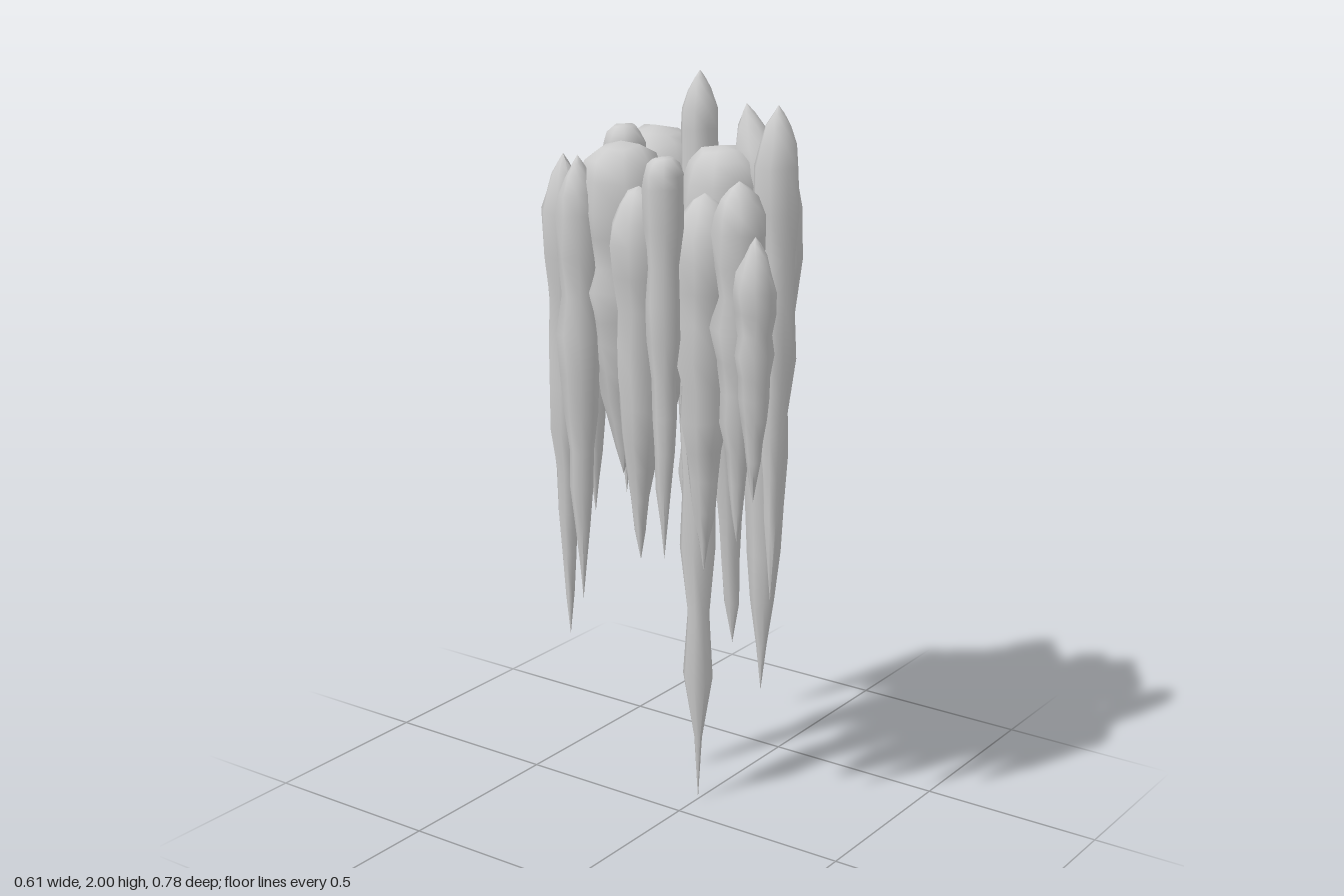
import * as THREE from 'three';
import { toCreasedNormals } from 'three/addons/utils/BufferGeometryUtils.js';

const SIDES = 8;
const BODY_RINGS = 10;

// Small seeded generator
function makeRandom(seed) {
  let s = seed;
  return () => (s = (s * 16807) % 2147483647) / 2147483647;
}

// Heads: rings as [drop below the apex, width], and where the body starts, all in radii
const HEADS = {
  pointed: { rings: [[0.35, 0.25], [0.9, 0.55], [1.7, 0.85]], end: 2.6 },
  round: { rings: [[0.2, 0.35], [0.6, 0.68], [1.2, 0.92]], end: 1.9 },
  blunt: { rings: [[0.1, 0.5], [0.35, 0.78], [0.85, 0.95]], end: 1.5 },
};

// One icicle: irregular rings from a head down to a sharp tip.
// lean shifts the apex, drift shifts the tip, widths replaces the usual taper.
function icicleGeometry({ r, top, tip, head, lean = [0, 0], drift = [0, 0], widths }, random) {
  const rings = HEADS[head].rings.map(([d, w]) => [top - d * r, w * r]);
  const shoulder = top - HEADS[head].end * r;
  for (let i = 0; i < BODY_RINGS; i++) {
    const t = i / BODY_RINGS;
    const lump = i < 2 ? 1 : 0.8 + 0.26 * random();
    const width = widths ? widths[i] : lump * (1 - t ** 2.1);
    rings.push([shoulder + (tip - shoulder) * t, r * width]);
  }

  const position = [lean[0], top, lean[1]];
  const index = [];
  const twist = random() * Math.PI;
  rings.forEach(([y, radius]) => {
    // The lean fades out below the head, the drift grows towards the tip
    const k = Math.max(0, 1 - (top - y) / 0.25);
    const d = (top - y) / (top - tip);
    const wobble = 0.1 * radius;
    const cx = lean[0] * k + drift[0] * d + (random() - 0.5) * wobble;
    const cz = lean[1] * k + drift[1] * d + (random() - 0.5) * wobble;
    for (let j = 0; j < SIDES; j++) {
      const a = twist + (j / SIDES) * Math.PI * 2;
      const q = radius * (0.94 + 0.14 * random());
      const dy = (random() - 0.5) * 0.15 * r;
      position.push(cx + q * Math.cos(a), y + dy, cz + q * Math.sin(a));
    }
  });
  position.push(drift[0], tip, drift[1]);

  const at = (i, j) => 1 + i * SIDES + (j % SIDES);
  const last = rings.length - 1;
  const bottom = position.length / 3 - 1;
  for (let j = 0; j < SIDES; j++) {
    index.push(0, at(0, j + 1), at(0, j));
    for (let i = 0; i < last; i++) {
      index.push(at(i, j), at(i, j + 1), at(i + 1, j));
      index.push(at(i, j + 1), at(i + 1, j + 1), at(i + 1, j));
    }
    index.push(at(last, j), at(last, j + 1), bottom);
  }

  const geometry = new THREE.BufferGeometry();
  geometry.setAttribute('position', new THREE.Float32BufferAttribute(position, 3));
  geometry.setIndex(index);
  return toCreasedNormals(geometry, 1.1);
}

const ICICLES = [
  // Thick columns at the core
  { name: 'thickIcicleBack', x: 0.095, z: -0.14, r: 0.122, top: 1.85, tip: 0.93, head: 'blunt' },
  { name: 'thickIcicleRight', x: -0.16, z: -0.06, r: 0.108, top: 1.85, tip: 1.0, head: 'blunt' },
  { name: 'thickIcicleFront', x: 0.03, z: 0.11, r: 0.11, top: 1.83, tip: 0.5, head: 'blunt', drift: [0.045, 0.01],
    widths: [1, 0.96, 0.87, 0.74, 0.6, 0.46, 0.36, 0.28, 0.23, 0.18] },
  { name: 'thickIcicleRear', x: 0.042, z: -0.295, r: 0.088, top: 1.79, tip: 1.16, head: 'round', lean: [0, 0.03] },
  // Long icicles
  { name: 'longestIcicle', x: 0.09, z: 0, r: 0.056, top: 2.0, tip: 0, head: 'pointed',
    widths: [0.85, 0.9, 1, 0.82, 0.92, 0.76, 0.86, 0.52, 0.72, 0.2] },
  { name: 'longIcicleLeft', x: 0.217, z: 0.13, r: 0.085, top: 1.86, tip: 0.32, head: 'pointed', lean: [-0.015, 0], drift: [-0.017, 0] },
  { name: 'longIcicleRear', x: -0.145, z: -0.252, r: 0.056, top: 1.8, tip: 0.51, head: 'pointed' },
  // Medium icicles
  { name: 'icicleLeft', x: 0.255, z: -0.14, r: 0.053, top: 1.81, tip: 0.68, head: 'pointed',
    widths: [1, 0.95, 0.87, 0.8, 0.75, 0.92, 0.66, 0.48, 0.72, 0.36] },
  { name: 'icicleFront', x: -0.02, z: 0.305, r: 0.056, top: 1.95, tip: 0.69, head: 'pointed', drift: [-0.01, 0] },
  { name: 'icicleRight', x: -0.243, z: -0.13, r: 0.056, top: 1.82, tip: 0.67, head: 'pointed' },
  { name: 'icicleRightMiddle', x: -0.23, z: 0.045, r: 0.074, top: 1.76, tip: 0.81, head: 'round' },
  { name: 'icicleRightFront', x: -0.24, z: 0.125, r: 0.05, top: 1.84, tip: 0.83, head: 'blunt' },
  { name: 'icicleFrontMiddle', x: -0.125, z: 0.165, r: 0.082, top: 1.74, tip: 0.77, head: 'round' },
  { name: 'icicleFrontRight', x: -0.13, z: 0.268, r: 0.065, top: 1.78, tip: 0.87, head: 'round' },
  { name: 'icicleBackMiddle', x: -0.09, z: -0.205, r: 0.055, top: 1.78, tip: 0.85, head: 'round' },
  { name: 'icicleCentre', x: -0.04, z: -0.14, r: 0.054, top: 1.87, tip: 0.9, head: 'blunt' },
  // Short icicles
  { name: 'shortIcicleFront', x: 0.08, z: 0.222, r: 0.064, top: 1.93, tip: 1.15, head: 'pointed', lean: [0, -0.075] },
  { name: 'shortIcicleCorner', x: -0.165, z: 0.338, r: 0.05, top: 1.66, tip: 1.0, head: 'pointed' },
  { name: 'shortIcicleRear', x: 0.105, z: -0.35, r: 0.04, top: 1.64, tip: 0.86, head: 'pointed' },
];

export function createModel() {
  const group = new THREE.Group();
  group.name = 'icicleCluster';
  const material = new THREE.MeshStandardMaterial({ color: 0xcccccc });
  ICICLES.forEach((spec, i) => {
    const mesh = new THREE.Mesh(icicleGeometry(spec, makeRandom(1013 * (i + 7))), material);
    mesh.name = spec.name;
    mesh.position.set(spec.x, 0, spec.z);
    group.add(mesh);
  });
  return group;
}
